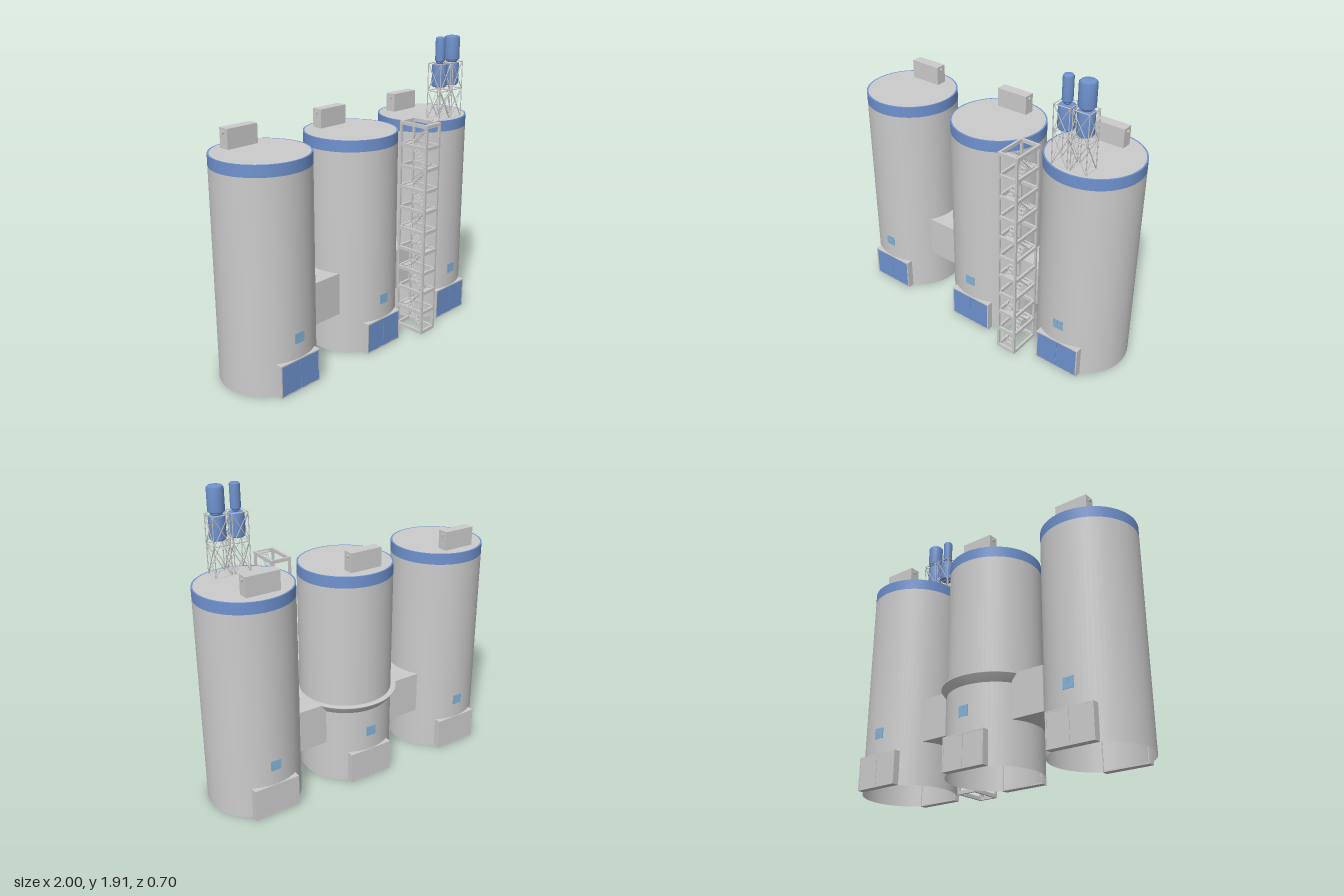
import * as THREE from 'three';

const mat = (color) => new THREE.MeshStandardMaterial({ color, side: THREE.DoubleSide });
const grey = mat(0xcccccc);
const blue = mat(0x6f92cf);
const glass = mat(0x84b4d8);

function add(parent, name, geometry, material, x = 0, y = 0, z = 0) {
  const mesh = new THREE.Mesh(geometry, material);
  mesh.name = name;
  mesh.position.set(x, y, z);
  parent.add(mesh);
  return mesh;
}

// Box given by its low and high corners
function box(parent, name, material, [x0, y0, z0], [x1, y1, z1]) {
  return add(parent, name, new THREE.BoxGeometry(x1 - x0, y1 - y0, z1 - z0), material,
    (x0 + x1) / 2, (y0 + y1) / 2, (z0 + z1) / 2);
}

// Thin rod between two points
function rod(parent, name, a, b, r = 0.003) {
  const from = new THREE.Vector3(...a), to = new THREE.Vector3(...b);
  const dir = to.clone().sub(from);
  const mesh = add(parent, name, new THREE.CylinderGeometry(r, r, dir.length(), 6), grey);
  mesh.position.copy(from).add(to).multiplyScalar(0.5);
  mesh.quaternion.setFromUnitVectors(new THREE.Vector3(0, 1, 0), dir.normalize());
}

const R = 0.295, SILO_Z = -0.025, TOP = 1.39;

// Loading door facing +z: a deep frame with two leaves
function makeDoor(name, leafMaterial) {
  const door = new THREE.Group();
  door.name = name;
  const shape = new THREE.Shape([[-0.15, 0], [0.15, 0], [0.15, 0.207], [-0.15, 0.207]]
    .map(([x, y]) => new THREE.Vector2(x, y)));
  shape.holes.push(new THREE.Path([[-0.142, 0.008], [-0.142, 0.199], [0.142, 0.199], [0.142, 0.008]]
    .map(([x, y]) => new THREE.Vector2(x, y))));
  add(door, 'doorFrame', new THREE.ExtrudeGeometry(shape, { depth: 0.045, bevelEnabled: false }), grey, 0, 0, 0.255);
  for (const s of [-1, 1])
    add(door, 'doorLeaf', new THREE.BoxGeometry(0.14, 0.191, 0.003), leafMaterial, s * 0.0712, 0.1035, 0.2975);
  return door;
}

function makeSilo(x, roofBoxX) {
  const silo = new THREE.Group();
  silo.name = 'silo';
  silo.position.set(x, 0, SILO_Z);
  add(silo, 'wall', new THREE.CylinderGeometry(R, R, 1.32, 64, 1, true), grey, 0, 0.66, 0);
  add(silo, 'topBand', new THREE.CylinderGeometry(R, R, 0.07, 64, 1, true), blue, 0, 1.355, 0);
  add(silo, 'rim', new THREE.RingGeometry(R - 0.01, R, 64).rotateX(-Math.PI / 2), blue, 0, TOP, 0);
  add(silo, 'roof', new THREE.CircleGeometry(R - 0.01, 64).rotateX(-Math.PI / 2), grey, 0, TOP, 0);

  // Doors and windows on front and back
  for (const back of [false, true]) {
    const side = new THREE.Group();
    side.name = back ? 'backSide' : 'frontSide';
    side.rotation.y = back ? Math.PI : 0;
    side.add(makeDoor(back ? 'backDoor' : 'frontDoor', back ? grey : blue));
    for (const s of [-1, 1])
      add(side, 'windowPane', new THREE.BoxGeometry(0.033, 0.066, 0.008), glass, s * 0.0172, 0.338, 0.293);
    silo.add(side);
  }

  // Roof housing with a shaft through its ends
  const bx = roofBoxX - x;
  add(silo, 'roofHousing', new THREE.BoxGeometry(0.216, 0.12, 0.07), grey, bx, 1.45, -0.175);
  rod(silo, 'housingShaft', [bx - 0.119, 1.485, -0.175], [bx + 0.119, 1.485, -0.175], 0.01);
  return silo;
}

// Cross-braced frame carrying a lower and an upper tank
function makeTankTower(x, upperRadius) {
  const tower = new THREE.Group();
  tower.name = 'tankTower';
  tower.position.set(x, 0, 0.175);
  const h = 0.051, levels = [TOP, 1.575, 1.75];
  for (let i = 0; i < 4; i++) {
    const a = i * Math.PI / 2 + Math.PI / 4, b = a + Math.PI / 2, d = h * Math.SQRT2;
    const p = (t, y) => [d * Math.cos(t), y, d * Math.sin(t)];
    rod(tower, 'towerPost', p(a, TOP), p(a, 1.75));
    for (const y of levels) rod(tower, 'towerRail', p(a, y), p(b, y));
    for (let k = 0; k < 2; k++) {
      rod(tower, 'towerBrace', p(a, levels[k]), p(b, levels[k + 1]), 0.0025);
      rod(tower, 'towerBrace', p(b, levels[k]), p(a, levels[k + 1]), 0.0025);
    }
  }
  const tank = (name, r, y0, y1) => {
    const c = 0.01;
    const profile = [[0, y0], [r * 0.8, y0], [r, y0 + c], [r, y1 - c], [r * 0.8, y1], [0, y1]];
    const geometry = new THREE.LatheGeometry(profile.map(([a, b]) => new THREE.Vector2(a, b)), 24);
    add(tower, name, geometry, blue);
  };
  tank('lowerTank', 0.049, 1.6, 1.748);
  tank('neck', upperRadius * 0.7, 1.745, 1.77);
  tank('upperTank', upperRadius, 1.76, 1.915);
  return tower;
}

// Open stair tower: posts, ring frames and zigzag flights
function makeStairTower() {
  const tower = new THREE.Group();
  tower.name = 'stairTower';
  const x0 = 0.302, x1 = 0.438, z0 = 0.13, z1 = 0.35, t = 0.014, step = 0.14;
  for (const x of [x0, x1 - t]) for (const z of [z0, z1 - t])
    box(tower, 'stairPost', grey, [x, 0, z], [x + t, 1.42, z + t]);
  for (let i = 0; i <= 10; i++) {
    const y = i * step, top = y + 0.022;
    for (const z of [z0, z1 - t]) box(tower, 'crossBeam', grey, [x0, y, z], [x1, top, z + t]);
    for (const x of [x0, x1 - t]) box(tower, 'sideBeam', grey, [x, y, z0], [x + t, top, z1]);
    if (i === 10) break;
    // One flight per level, swapping lane and direction
    const up = i % 2 === 0, lane = up ? 0.345 : 0.378, w = 0.032;
    const za = up ? 0.31 : 0.18, zb = up ? 0.18 : 0.31;
    for (let k = 0; k < 8; k++) {
      const f = (k + 0.5) / 8, z = za + (zb - za) * f, ty = y + 0.015 + step * f;
      box(tower, 'tread', grey, [lane, ty - 0.002, z - 0.008], [lane + w, ty + 0.002, z + 0.008]);
    }
    for (const x of [lane, lane + w]) {
      rod(tower, 'stringer', [x, y + 0.012, za], [x, y + step + 0.012, zb], 0.003);
      rod(tower, 'handrail', [x, y + 0.05, za], [x, y + step + 0.04, zb], 0.002);
    }
    const lz = up ? 0.145 : 0.31;
    box(tower, 'landing', grey, [0.345, y + step + 0.01, lz], [0.41, y + step + 0.016, lz + 0.035]);
  }
  return tower;
}

export function createModel() {
  const model = new THREE.Group();
  model.name = 'siloPlant';
  for (const [x, bx] of [[-0.703, -0.713], [0.015, 0.005], [0.703, 0.69]]) model.add(makeSilo(x, bx));

  // Bridges between the silos
  box(model, 'bridge', grey, [-0.453, 0.27, -0.19], [-0.237, 0.545, 0.127]);
  box(model, 'bridge', grey, [0.268, 0.27, -0.19], [0.452, 0.545, 0.127]);

  // Flared ledge round the back of the middle silo
  const ledge = [[R - 0.003, 0.488], [0.329, 0.538], [0.329, 0.545], [R - 0.003, 0.545]];
  add(model, 'ledge', new THREE.LatheGeometry(ledge.map(([r, y]) => new THREE.Vector2(r, y)), 40,
    Math.PI - 1.1, 2.2), grey, 0.015, 0, SILO_Z);

  model.add(makeTankTower(0.628, 0.031), makeTankTower(0.749, 0.05));
  model.add(makeStairTower());
  return model;
}
